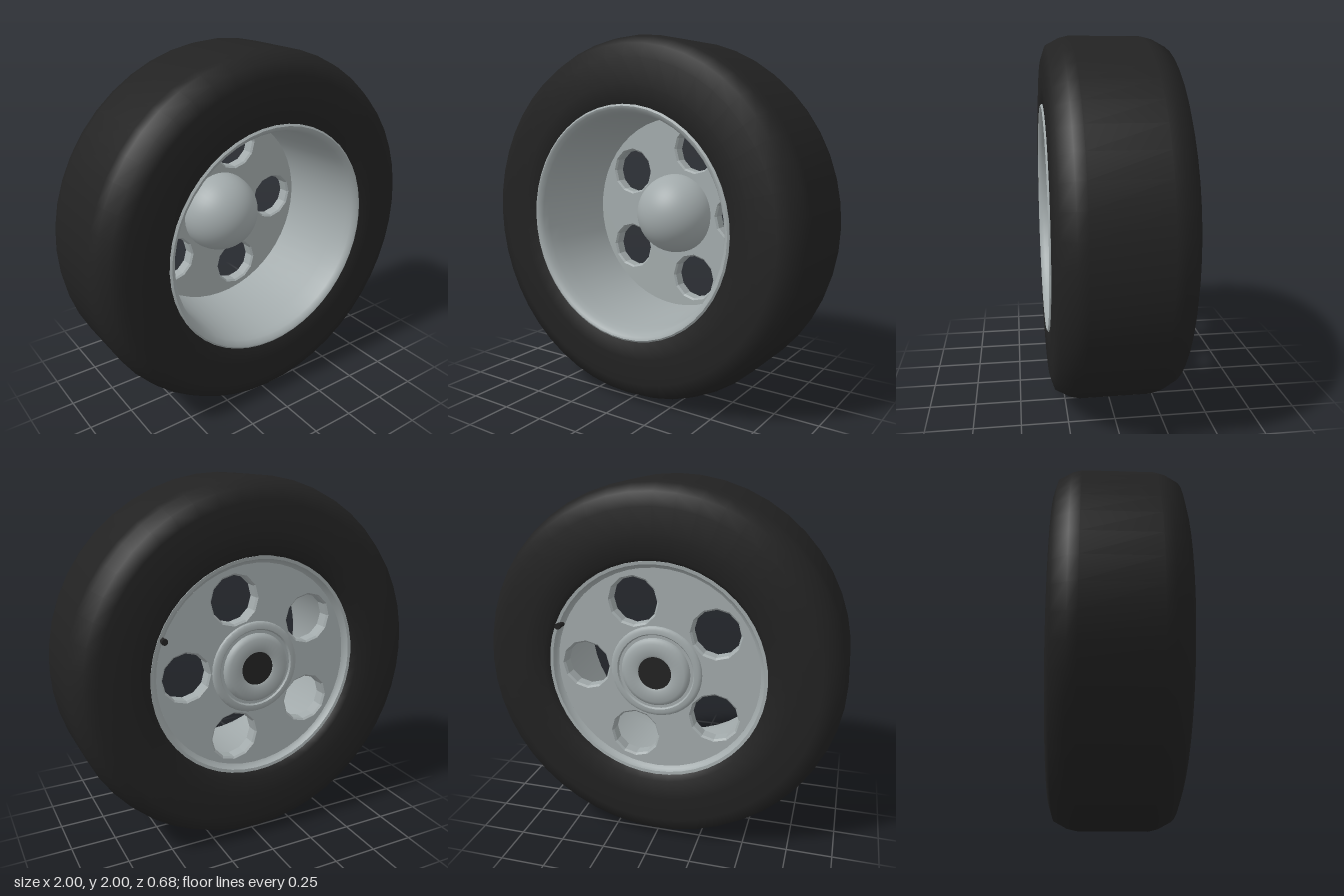
import * as THREE from 'three';
import { toCreasedNormals } from 'three/addons/utils/BufferGeometryUtils.js';

const rubber = new THREE.MeshStandardMaterial({ color: 0x222222 });
rubber.name = 'black rubber';
const alloy = new THREE.MeshStandardMaterial({ color: 0xa2aaab });
alloy.name = 'grey alloy';

// Turn a profile of [radius, z] points around the wheel axis (z)
function turned(profile, segments) {
  const points = profile.map(([r, z]) => new THREE.Vector2(r, z));
  return new THREE.LatheGeometry(points, segments).rotateX(Math.PI / 2);
}

function ring(cx, cy, radius, sides) {
  return Array.from({ length: sides }, (_, i) => {
    const a = (i / sides) * Math.PI * 2;
    return new THREE.Vector2(cx + radius * Math.cos(a), cy + radius * Math.sin(a));
  });
}

export function createModel() {
  const wheel = new THREE.Group();
  wheel.name = 'wheel';
  wheel.position.y = 1;

  function add(name, geometry, material) {
    const mesh = new THREE.Mesh(geometry, material);
    mesh.name = name;
    wheel.add(mesh);
    return mesh;
  }

  // Tyre with rounded shoulders
  add('tyre', turned([
    [0.6, -0.29], [0.63, -0.333], [0.74, -0.336], [0.88, -0.335], [0.95, -0.312],
    [0.988, -0.24], [1, -0.19], [1, 0.19], [0.988, 0.24], [0.95, 0.312],
    [0.88, 0.335], [0.74, 0.336], [0.635, 0.333], [0.62, 0.29],
  ], 48), rubber);

  // Deep rim barrel with rolled lips at both ends
  add('rim', toCreasedNormals(turned([
    [0.605, -0.302], [0.605, 0.28], [0.64, 0.31], [0.64, 0.336], [0.63, 0.343],
    [0.615, 0.338], [0.6, 0.315], [0.592, 0.28], [0.585, 0.2], [0.565, -0.19],
    [0.565, -0.27], [0.58, -0.28], [0.588, -0.3], [0.605, -0.302],
  ], 48), 0.7), alloy);

  // Disc with five bevelled round holes
  const face = new THREE.Shape(ring(0, 0, 0.575, 48));
  for (let i = 0; i < 5; i++) {
    const a = (i / 5) * Math.PI * 2;
    face.holes.push(new THREE.Path(ring(0.4 * Math.cos(a), 0.4 * Math.sin(a), 0.13, 12).reverse()));
  }
  const disc = new THREE.ExtrudeGeometry(face, {
    depth: 0.06, bevelEnabled: true, bevelThickness: 0.01,
    bevelSize: 0.01, bevelOffset: -0.01, bevelSegments: 1,
  });
  add('disc', disc, alloy).position.z = -0.26;

  // Domed hub on the front
  const dome = new THREE.SphereGeometry(0.235, 40, 16, 0, Math.PI * 2, 0, Math.PI / 2);
  add('hubDome', dome.rotateX(Math.PI / 2), alloy).position.z = -0.192;

  // Stepped hub on the back
  add('rearHub', toCreasedNormals(turned([
    [0.09, -0.285], [0.092, -0.3], [0.105, -0.306], [0.165, -0.306], [0.185, -0.295],
    [0.192, -0.278], [0.208, -0.278], [0.215, -0.287], [0.235, -0.287],
    [0.25, -0.28], [0.257, -0.265],
  ], 40), 0.7), alloy);

  // Dark axle bore
  const bore = add('axleBore', new THREE.CircleGeometry(0.093, 24), rubber);
  bore.rotation.y = Math.PI;
  bore.position.z = -0.298;

  // Valve stem beside the rear lip
  const valve = new THREE.Group();
  valve.name = 'valve';
  const stem = new THREE.Mesh(new THREE.CylinderGeometry(0.013, 0.016, 0.07, 10), rubber);
  stem.name = 'valveStem';
  const cap = new THREE.Mesh(new THREE.CylinderGeometry(0.017, 0.017, 0.022, 10), rubber);
  cap.name = 'valveCap';
  cap.position.y = 0.03;
  valve.add(stem, cap);
  valve.rotation.x = -Math.PI / 2;
  const va = 0.4;
  valve.position.set(0.58 * Math.cos(va), 0.58 * Math.sin(va), -0.293);
  wheel.add(valve);

  const model = new THREE.Group();
  model.name = 'model';
  model.add(wheel);
  return model;
}
